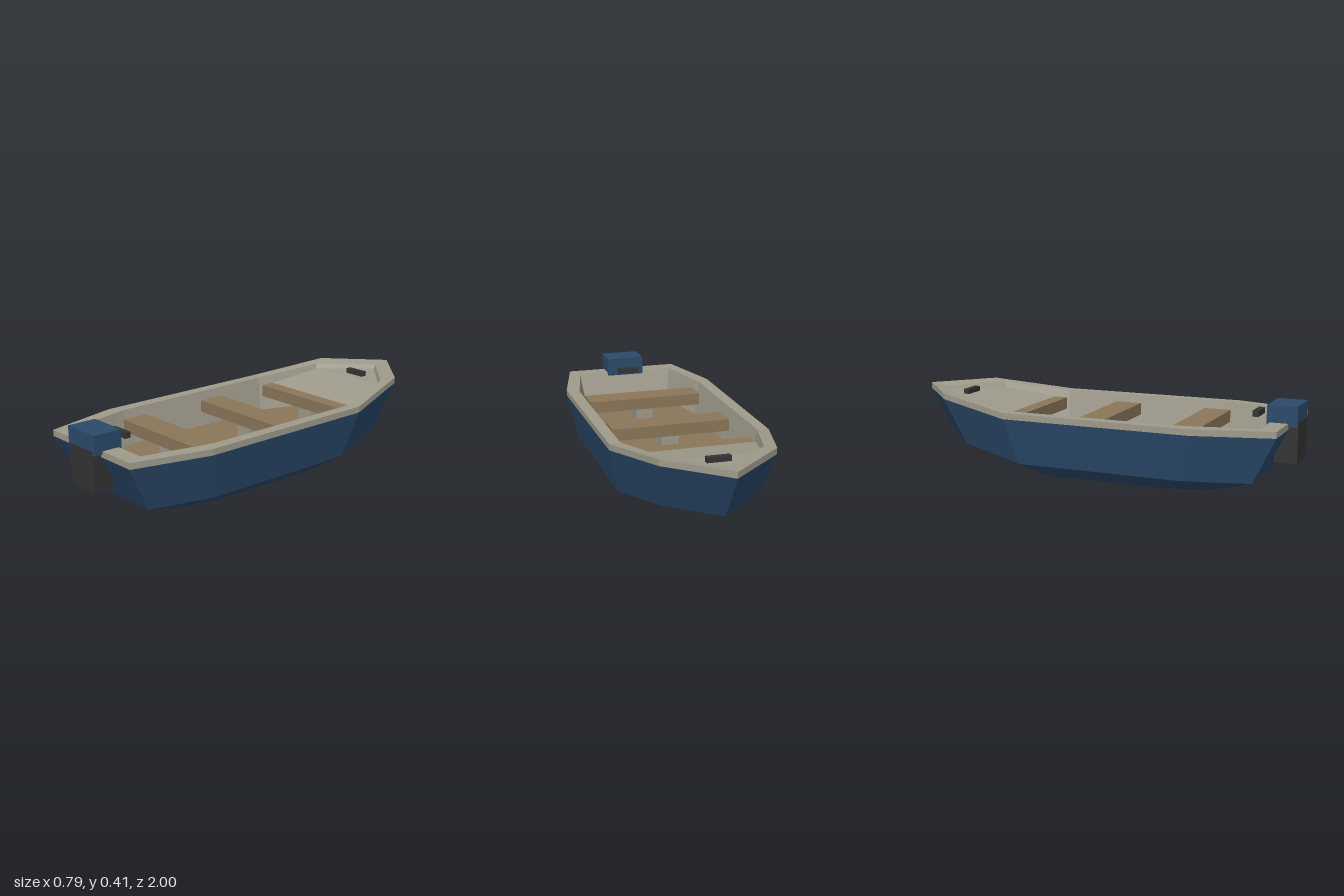
import * as THREE from 'three';

const navy = new THREE.MeshStandardMaterial({ color: 0x2b4a6b });
navy.name = 'navyHull';
const stone = new THREE.MeshStandardMaterial({ color: 0x9e9a8b });
stone.name = 'stoneTrim';
const wood = new THREE.MeshStandardMaterial({ color: 0x8b7659 });
wood.name = 'wood';
const black = new THREE.MeshStandardMaterial({ color: 0x333333 });
black.name = 'blackFittings';

// Half outline from stern to bow (last point on the centreline) mirrored to a full ring
function ring(half) {
  const mirrored = half.slice(0, -1).reverse().map(([x, y, z]) => [-x, y, z]);
  return [...half, ...mirrored];
}

// Flat-shaded geometry from a list of quads
function quadGeometry(quads) {
  const positions = [];
  for (const [a, b, c, d] of quads) positions.push(...a, ...b, ...c, ...a, ...c, ...d);
  const geometry = new THREE.BufferGeometry();
  geometry.setAttribute('position', new THREE.Float32BufferAttribute(positions, 3));
  geometry.computeVertexNormals();
  return geometry;
}

// Closed band of quads between two rings
function band(a, b) {
  return a.map((p, i) => {
    const j = (i + 1) % a.length;
    return [p, a[j], b[j], b[i]];
  });
}

// Fill a ring with cross strips, facing up or down
function cap(r, up) {
  const quads = [];
  const n = r.length - 1;
  for (let i = 0; i < n / 2; i++) {
    const q = [r[i], r[i + 1], r[n - i - 1], r[n - i]];
    quads.push(up ? q : q.reverse());
  }
  return quads;
}

export function createModel() {
  const boat = new THREE.Group();
  boat.name = 'motorBoat';

  function add(name, geometry, material) {
    const mesh = new THREE.Mesh(geometry, material);
    mesh.name = name;
    boat.add(mesh);
    return mesh;
  }
  // Box given by its min and max corners
  function box(name, [x0, y0, z0], [x1, y1, z1], material) {
    const mesh = add(name, new THREE.BoxGeometry(x1 - x0, y1 - y0, z1 - z0), material);
    mesh.position.set((x0 + x1) / 2, (y0 + y1) / 2, (z0 + z1) / 2);
  }

  // Cross-section rings of the hull, from the bottom up and then down inside
  const bottom = ring([[0.2, 0, 0.61], [0.245, 0, 0.4], [0.245, 0, -0.2], [0.16, 0.035, -0.46], [0, 0.05, -0.6]]);
  const chine = ring([[0.265, 0.07, 0.84], [0.345, 0.07, 0.52], [0.34, 0.07, -0.3], [0.23, 0.12, -0.66], [0, 0.12, -0.86]]);
  const rim = ring([[0.3, 0.325, 0.955], [0.395, 0.325, 0.58], [0.39, 0.325, -0.36], [0.27, 0.375, -0.76], [0, 0.375, -1]]);
  const rimLow = rim.map(([x, y, z]) => [x, y - 0.03, z]);
  const rimInner = ring([[0.26, 0.325, 0.87], [0.335, 0.325, 0.53], [0.335, 0.325, -0.35], [0.235, 0.363, -0.69], [0, 0.363, -0.907]]);
  const floor = ring([[0.235, 0.155, 0.82], [0.3, 0.155, 0.5], [0.3, 0.155, -0.33], [0.2, 0.155, -0.62], [0, 0.155, -0.8]]);

  // Hull shell, gunwale, inner walls and floor
  add('hull', quadGeometry([...cap(bottom, false), ...band(bottom, chine), ...band(chine, rimLow)]), navy);
  add('gunwale', quadGeometry([...band(rimLow, rim), ...band(rim, rimInner)]), stone);
  add('innerWalls', quadGeometry(band(rimInner, floor)), stone);
  add('floor', quadGeometry(cap(floor, true)), wood);

  // Bow deck, sloping down into the front bench
  const deck = ring([[0.318, 0.278, -0.35], [0.231, 0.336, -0.687], [0, 0.343, -0.9]]);
  add('bowDeck', quadGeometry([...cap(deck, true), ...cap(deck.map(([x, y, z]) => [x, y - 0.01, z]), false)]), stone);

  // Benches on short posts
  for (const z of [-0.413, 0.0125, 0.495]) {
    box('bench', [-0.3, 0.23, z - 0.067], [0.3, 0.29, z + 0.067], wood);
    box('benchPost', [-0.045, 0.155, z - 0.045], [0.045, 0.23, z + 0.045], stone);
  }

  // Cleats
  box('bowCleat', [-0.057, 0.335, -0.77], [0.057, 0.363, -0.74], black);
  box('sternCleat', [-0.057, 0.337, 0.775], [0.057, 0.365, 0.805], black);

  // Outboard motor
  box('motorCover', [-0.1, 0.31, 0.855], [0.1, 0.405, 0.998], navy);
  box('motorLeg', [-0.087, 0.137, 0.893], [0.087, 0.328, 1], black);

  return boat;
}
